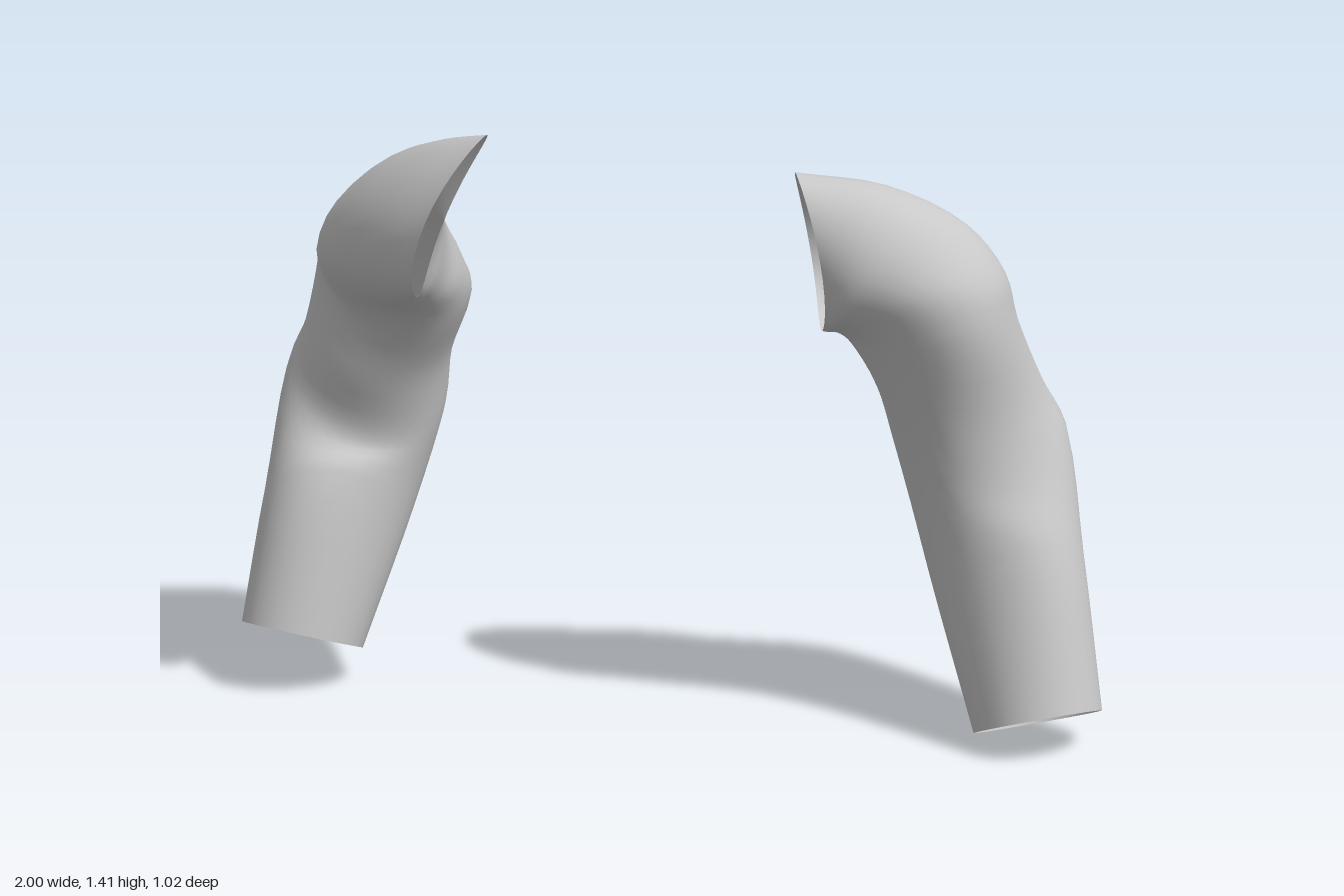
import * as THREE from 'three';

const fabric = new THREE.MeshStandardMaterial({ color: 0xc8c8c8, side: THREE.DoubleSide });
fabric.name = 'grey fabric';

// Each cross-section lists its outer, front, inner and back points, wrist to shoulder.
const leftSections = [
  [[1.0, 0.08, 0.37], [0.853, 0.11, 0.51], [0.71, 0.03, 0.37], [0.853, 0, 0.23]],
  [[0.965, 0.42, 0.24], [0.81, 0.48, 0.42], [0.615, 0.38, 0.24], [0.79, 0.38, 0.07]],
  [[0.93, 0.71, 0.18], [0.74, 0.6, 0.38], [0.535, 0.67, 0.18], [0.73, 0.68, -0.01]],
  [[0.87, 0.82, 0.2], [0.68, 0.75, 0.39], [0.49, 0.81, 0.2], [0.68, 0.83, 0.03]],
  [[0.8, 0.98, 0.24], [0.63, 0.95, 0.45], [0.43, 0.91, 0.22], [0.62, 0.95, 0.07]],
  [[0.77, 1.08, 0.26], [0.58, 1.04, 0.463], [0.41, 0.93, 0.23], [0.57, 1.02, 0.075]],
  [[0.68, 1.19, 0.27], [0.5, 1.08, 0.45], [0.39, 0.94, 0.23], [0.49, 1.06, 0.085]],
  [[0.5, 1.28, 0.28], [0.42, 1.1, 0.43], [0.375, 0.942, 0.24], [0.42, 1.08, 0.1]],
  [[0.295, 1.31, 0.28], [0.345, 1.12, 0.39], [0.36, 0.945, 0.25], [0.345, 1.1, 0.11]],
];

const rightSections = [
  [[-1.0, 0.15, -0.165], [-0.857, 0.16, -0.02], [-0.71, 0.08, -0.165], [-0.857, 0.07, -0.31]],
  [[-0.945, 0.45, -0.27], [-0.77, 0.54, -0.095], [-0.58, 0.42, -0.27], [-0.77, 0.43, -0.44]],
  [[-0.89, 0.74, -0.33], [-0.7, 0.6, -0.15], [-0.505, 0.66, -0.3], [-0.69, 0.775, -0.505]],
  [[-0.84, 0.86, -0.29], [-0.67, 0.75, -0.1], [-0.485, 0.81, -0.25], [-0.66, 0.89, -0.42]],
  [[-0.8, 1.03, -0.23], [-0.62, 0.87, -0.04], [-0.435, 0.96, -0.18], [-0.62, 1.0, -0.36]],
  [[-0.795, 1.07, -0.12], [-0.61, 0.94, 0.02], [-0.45, 1.03, -0.09], [-0.62, 1.13, -0.29]],
  [[-0.77, 1.12, 0], [-0.6, 0.97, 0.08], [-0.48, 1.09, 0], [-0.61, 1.24, -0.13]],
  [[-0.71, 1.16, 0.13], [-0.585, 0.99, 0.14], [-0.49, 1.14, 0.08], [-0.56, 1.33, 0.06]],
  [[-0.62, 1.19, 0.27], [-0.565, 1.01, 0.2], [-0.49, 1.17, 0.12], [-0.48, 1.375, 0.19]],
  [[-0.52, 1.22, 0.385], [-0.545, 1.03, 0.26], [-0.48, 1.2, 0.15], [-0.385, 1.4, 0.3]],
];

// Smooth closed loop through four points, angle in radians
function loopPoint([a, b, c, d], angle) {
  return [0, 1, 2].map((k) =>
    (a[k] + b[k] + c[k] + d[k]) / 4
    + ((a[k] - c[k]) / 2) * Math.cos(angle)
    + ((b[k] - d[k]) / 2) * Math.sin(angle)
    + ((a[k] - b[k] + c[k] - d[k]) / 4) * Math.cos(2 * angle));
}

// Open tube skinned over the cross-sections
function makeSleeve(name, sections, flip) {
  const sides = 32;
  const steps = (sections.length - 1) * 4;
  const rails = [0, 1, 2, 3].map((r) =>
    new THREE.CatmullRomCurve3(sections.map((s) => new THREE.Vector3(...s[r]))));
  const positions = [];
  const index = [];
  for (let i = 0; i <= steps; i++) {
    const ring = rails.map((rail) => rail.getPoint(i / steps).toArray());
    for (let j = 0; j < sides; j++) {
      positions.push(...loopPoint(ring, (j / sides) * Math.PI * 2));
      if (i === steps) continue;
      const a = i * sides + j;
      const b = i * sides + ((j + 1) % sides);
      const c = a + sides;
      const d = b + sides;
      if (flip) index.push(a, b, c, b, d, c);
      else index.push(a, c, b, b, c, d);
    }
  }
  const geometry = new THREE.BufferGeometry();
  geometry.setAttribute('position', new THREE.Float32BufferAttribute(positions, 3));
  geometry.setIndex(index);
  geometry.computeVertexNormals();
  const mesh = new THREE.Mesh(geometry, fabric);
  mesh.name = name;
  return mesh;
}

export function createModel() {
  const group = new THREE.Group();
  group.name = 'sleeves';
  group.add(makeSleeve('leftSleeve', leftSections, false));
  group.add(makeSleeve('rightSleeve', rightSections, true));
  return group;
}
